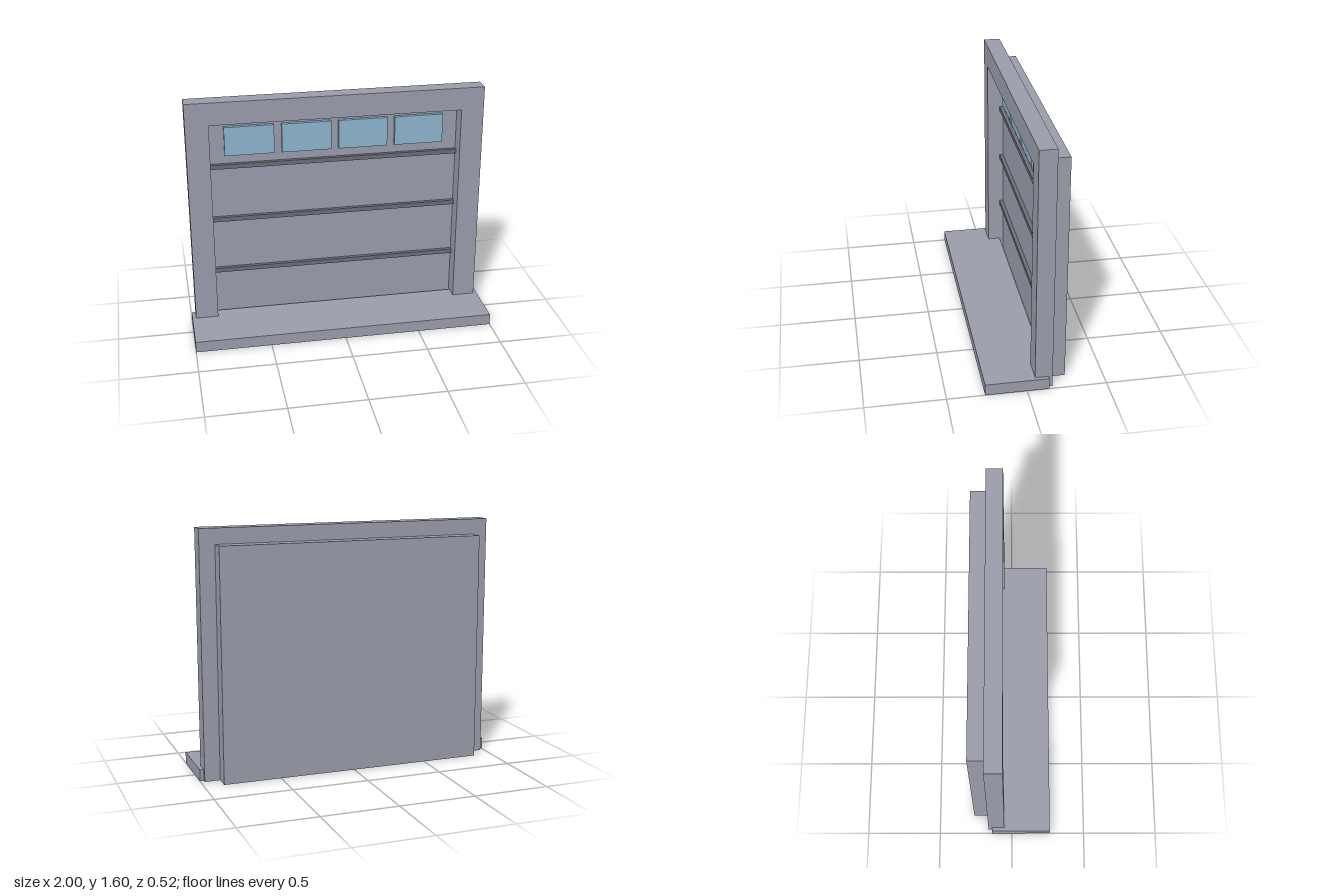
import * as THREE from 'three';

export function createModel() {
  const model = new THREE.Group();
  model.name = 'garageDoor';

  const material = (name, color) => {
    const m = new THREE.MeshStandardMaterial({ color });
    m.name = name;
    return m;
  };
  const wall = material('greyPaint', 0x9a9cab);
  const dark = material('darkGreyTrim', 0x6c6e79);
  const glass = material('blueGlass', 0x8cb4cd);

  const add = (name, geometry, mat, x = 0, y = 0, z = 0) => {
    const mesh = new THREE.Mesh(geometry, mat);
    mesh.name = name;
    mesh.position.set(x, y, z);
    model.add(mesh);
  };

  const doorFront = -0.1625;

  // Surround: one arch-shaped outline, open at the bottom
  const outline = new THREE.Shape([
    [-0.975, 0], [-0.825, 0], [-0.825, 1.45], [0.825, 1.45],
    [0.825, 0], [0.975, 0], [0.975, 1.6], [-0.975, 1.6],
  ].map(([x, y]) => new THREE.Vector2(x, y)));
  add('doorSurround', new THREE.ExtrudeGeometry(outline, { depth: 0.11, bevelEnabled: false }), wall, 0, 0, doorFront);

  // Door slab behind the surround
  add('doorPanel', new THREE.BoxGeometry(1.75, 1.5, 0.1), wall, 0, 0.75, doorFront - 0.05);

  // Threshold on the ground
  add('threshold', new THREE.BoxGeometry(2, 0.075, 0.4), wall, 0, 0.0375, 0.0625);

  // Horizontal ribs between the door sections
  for (let i = 0; i < 3; i++) {
    add('sectionRib', new THREE.BoxGeometry(1.65, 0.03, 0.025), dark, 0, 0.38 + i * 0.375, doorFront + 0.0125);
  }

  // Row of windows in the top section
  for (let i = 0; i < 4; i++) {
    add('window', new THREE.BoxGeometry(0.325, 0.195, 0.025), glass, (i - 1.5) * 0.375, 1.3025, doorFront + 0.0125);
  }

  return model;
}
